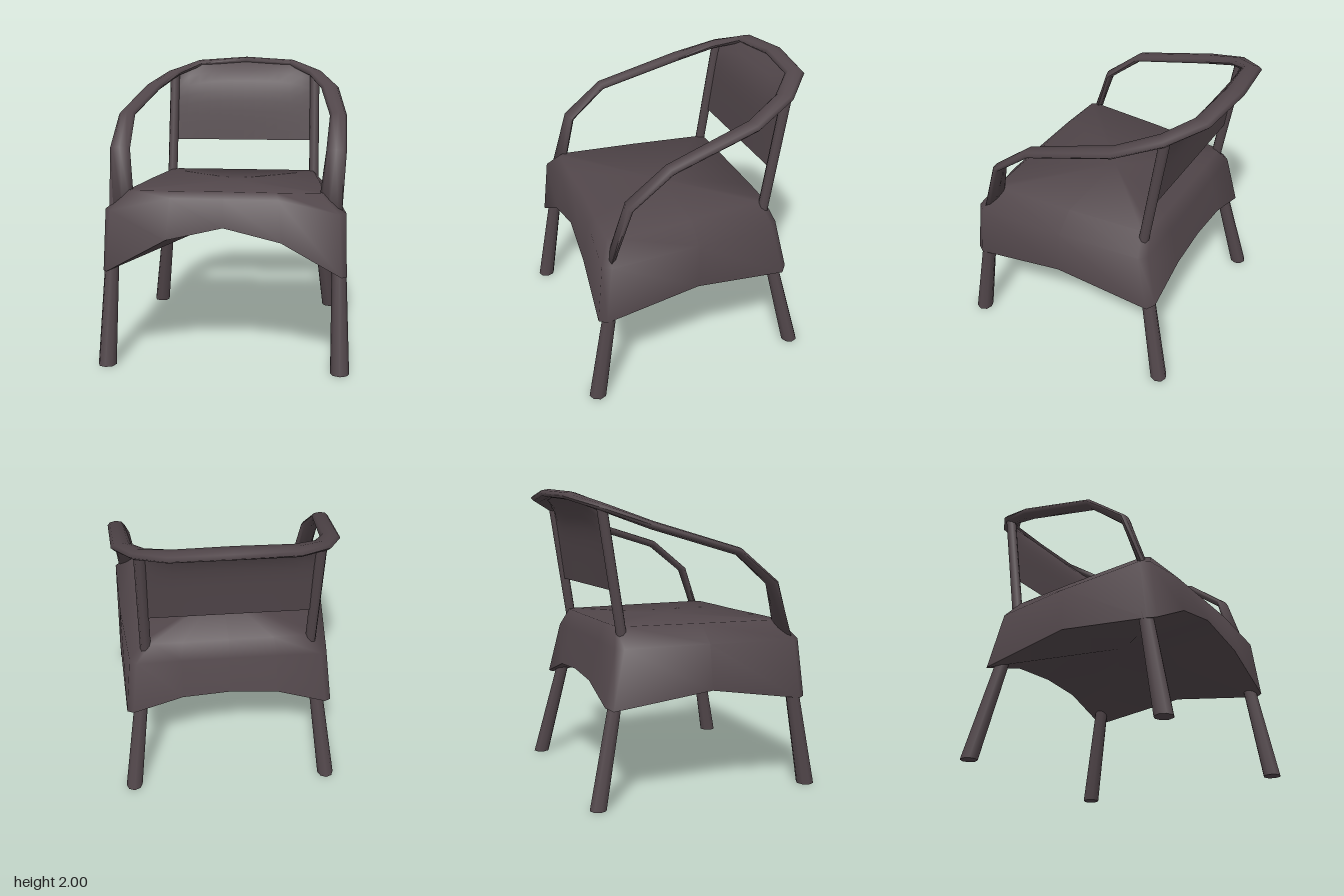
import * as THREE from 'three';
import { toCreasedNormals } from 'three/addons/utils/BufferGeometryUtils.js';

const V = (x, y, z) => new THREE.Vector3(x, y, z);
const brown = new THREE.MeshStandardMaterial({ color: 0x51464a, side: THREE.DoubleSide });
brown.name = 'dark brown';

// Skin a series of closed rings and fan both ends to a centre point.
function loft(rings, startCentre, endCentre, crease) {
  const tris = [];
  const n = rings[0].length;
  const last = rings.length - 1;
  for (let i = 0; i < n; i++) {
    const j = (i + 1) % n;
    tris.push(startCentre, rings[0][i], rings[0][j]);
    for (let r = 0; r < last; r++) {
      const a = rings[r], b = rings[r + 1];
      tris.push(a[i], b[i], b[j], a[i], b[j], a[j]);
    }
    tris.push(endCentre, rings[last][j], rings[last][i]);
  }
  const geo = new THREE.BufferGeometry().setFromPoints(tris);
  return toCreasedNormals(geo, crease);
}

// Complete a half outline (front middle round to back middle) by mirroring it in x.
function mirrorRing(half) {
  const pts = half.map(p => V(...p));
  const other = pts.slice(1, -1).reverse().map(p => V(-p.x, p.y, p.z));
  return [...pts, ...other];
}

// Slanted tapered round bar between two points, with level ends.
function bar(a, b, ra, rb) {
  const d = b.clone().sub(a);
  const geo = new THREE.CylinderGeometry(rb, ra, d.y, 8).translate(0, d.y / 2, 0);
  const shear = new THREE.Matrix4().set(
    1, d.x / d.y, 0, a.x,
    0, 1, 0, a.y,
    0, d.z / d.y, 1, a.z,
    0, 0, 0, 1);
  return geo.applyMatrix4(shear);
}

export function createModel() {
  const chair = new THREE.Group();
  chair.name = 'armchair';
  const add = (name, geo) => {
    const mesh = new THREE.Mesh(geo, brown);
    mesh.name = name;
    chair.add(mesh);
  };

  // Seat: flat top, rounded shoulder, and a skirt with an arched hem and clipped corners
  const seatTop = mirrorRing([[0, 1.13, 0.63], [0.33, 1.13, 0.64], [0.61, 1.13, 0.64], [0.635, 1.13, 0.6],
    [0.6, 1.13, 0.06], [0.55, 1.13, -0.46], [0.51, 1.13, -0.505], [0.3, 1.13, -0.51], [0, 1.13, -0.51]]);
  const shoulder = mirrorRing([[0, 1.09, 0.69], [0.35, 1.09, 0.69], [0.735, 1.01, 0.715], [0.778, 1.01, 0.66],
    [0.735, 1.01, 0.06], [0.665, 1.0, -0.5], [0.62, 1.0, -0.55], [0.32, 1.01, -0.555], [0, 1.01, -0.555]]);
  const hem = mirrorRing([[0, 0.91, 0.725], [0.37, 0.825, 0.74], [0.755, 0.615, 0.76], [0.788, 0.61, 0.71],
    [0.757, 0.71, 0.07], [0.705, 0.62, -0.59], [0.66, 0.64, -0.632], [0.32, 0.75, -0.625], [0, 0.77, -0.62]]);
  add('seat', loft([seatTop, shoulder, hem], V(0, 1.13, 0.06), V(0, 0.865, 0.06), 1.4));

  // Splayed legs and back posts
  for (const s of [1, -1]) {
    const side = s > 0 ? 'left' : 'right';
    add(side + 'FrontLeg', bar(V(s * 0.754, 0, 0.79), V(s * 0.735, 0.8, 0.652), 0.06, 0.044));
    add(side + 'BackLeg', bar(V(s * 0.695, 0, -0.695), V(s * 0.588, 0.8, -0.513), 0.057, 0.044));
    add(side + 'BackPost', bar(V(s * 0.554, 1.04, -0.475), V(s * 0.547, 1.885, -0.603), 0.036, 0.036));
  }

  // Flattened rail forming both arms and the top of the back: x, y, z, half width
  const half = [[0.675, 1.02, 0.635, 0.08], [0.71, 1.39, 0.52, 0.066], [0.722, 1.6, 0.26, 0.057],
    [0.664, 1.77, -0.32, 0.066], [0.55, 1.875, -0.585, 0.064], [0.37, 1.95, -0.75, 0.064]];
  const path = [...half, [0, 1.975, -0.787, 0.066],
    ...half.slice().reverse().map(([x, y, z, w]) => [-x, y, z, w])];
  const centres = path.map(([x, y, z]) => V(x, y, z));
  const rings = centres.map((c, i) => {
    const ahead = centres[Math.min(i + 1, centres.length - 1)];
    const behind = centres[Math.max(i - 1, 0)];
    const t = ahead.clone().sub(behind).normalize();
    const across = t.clone().cross(V(0, 1, 0)).normalize();
    const up = across.clone().cross(t);
    return Array.from({ length: 8 }, (_, k) => {
      const a = k * Math.PI / 4;
      return c.clone().addScaledVector(across, Math.cos(a) * path[i][3])
        .addScaledVector(up, Math.sin(a) * 0.027);
    });
  });
  add('armRail', loft(rings, centres[0], centres[centres.length - 1], 1.6));

  // Back panel: a thin sheet, straight below and sweeping back into the rail
  const panel = new THREE.PlaneGeometry(1.06, 1, 12, 8);
  const pos = panel.attributes.position;
  for (let i = 0; i < pos.count; i++) {
    const x = pos.getX(i);
    const t = pos.getY(i) + 0.5;
    const bow = 1 - Math.abs(x / 0.53) ** 3;
    const y = 1.36 + t * (0.515 + 0.09 * bow);
    pos.setXYZ(i, x, y, -0.535 - 0.07 * t - 0.135 * bow * t ** 6);
  }
  panel.computeVertexNormals();
  add('backPanel', panel);

  return chair;
}
